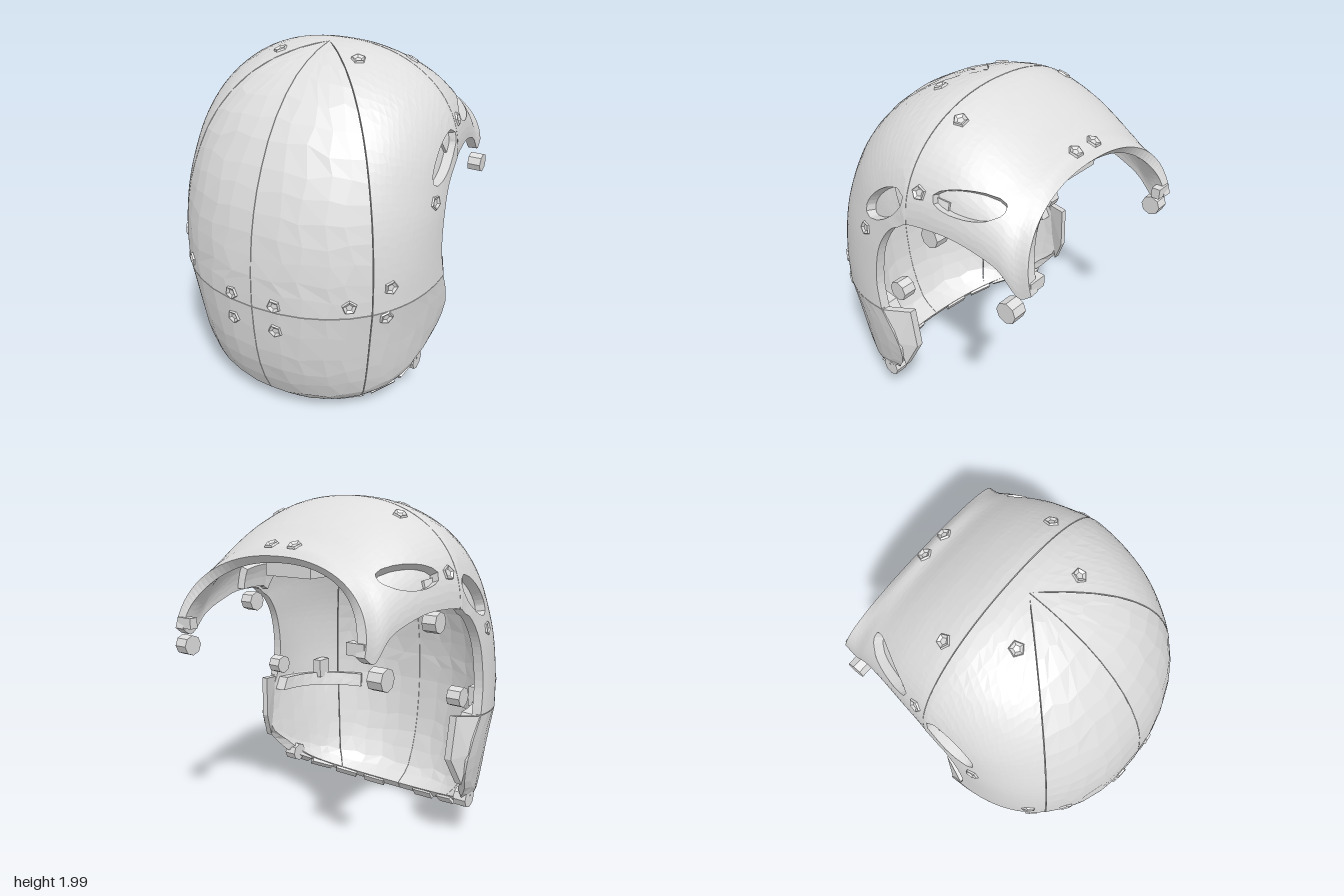
import * as THREE from 'three';
import { ConvexGeometry } from 'three/addons/geometries/ConvexGeometry.js';

const shellMat = new THREE.MeshStandardMaterial({ color: 0xdedede, flatShading: true });
shellMat.name = 'shellGrey';

// Hoops of the shell: centre z, centre y, side-edge z, side-edge y, half width
const LOWER = [
  [.53, .02, .12, .28, .67], [.66, .1, .06, .36, .72], [.755, .3, .0, .46, .75],
  [.80, .5, -.01, .59, .772], [.82, .75, .10, .805, .785],
];
const UPPER = [
  [.82, .753, .10, .81, .785], [.815, .95, .13, .98, .775], [.78, 1.2, .10, 1.2, .765],
  [.71, 1.42, .04, 1.32, .755], [.57, 1.67, -.02, 1.38, .75], [.37, 1.86, -.06, 1.4, .745],
  [.14, 1.965, -.085, 1.42, .742], [-.105, 2, -.105, 1.43, .738], [-.3, 1.94, -.33, 1.44, .70],
  [-.45, 1.86, -.48, 1.41, .672], [-.57, 1.78, -.63, 1.355, .65], [-.64, 1.755, -.755, 1.25, .642],
  [-.69, 1.705, -.82, 1.29, .635],
];
const HALF = Math.PI / 2;

// Surface point at hoop t and angle a (0 = side edge, HALF = centre line)
function makeSurface(rows) {
  const n = rows.length - 1;
  const mid = new THREE.CatmullRomCurve3(rows.map(r => new THREE.Vector3(r[4], r[1], r[0])));
  const edge = new THREE.CatmullRomCurve3(rows.map(r => new THREE.Vector3(0, r[3], r[2])));
  const point = (t, a) => {
    const u = THREE.MathUtils.clamp(t / n, 0, 1), b = THREE.MathUtils.clamp(a, 0, HALF);
    const p = mid.getPoint(u), q = edge.getPoint(u);
    const c = Math.pow(Math.max(0, Math.cos(b)), .91), s = Math.pow(Math.sin(b), .91);
    return new THREE.Vector3(p.x * c, q.y + (p.y - q.y) * s, q.z + (p.z - q.z) * s);
  };
  const normal = (t, a) => {
    const e = .02;
    const dt = point(t + e, a).sub(point(t - e, a));
    const da = point(t, a + e).sub(point(t, a - e));
    return dt.cross(da).normalize();
  };
  // slide [t, a] until the surface point has the given z and y
  const solve = ([t, a], z, y) => {
    for (let i = 0; i < 6; i++) {
      const e = .005, p = point(t, a);
      const ft = point(t + e, a).sub(p).divideScalar(e), fa = point(t, a + e).sub(p).divideScalar(e);
      const dz = z - p.z, dy = y - p.y, det = ft.z * fa.y - fa.z * ft.y;
      t += (dz * fa.y - fa.z * dy) / det;
      a += (ft.z * dy - dz * ft.y) / det;
    }
    return [t, a];
  };
  return { n, point, normal, solve };
}
const lower = makeSurface(LOWER), upper = makeSurface(UPPER);

// Angle where the diagonal front seam (x = z) crosses hoop t
function seam(surf, t) {
  let lo = 0, hi = HALF;
  for (let i = 0; i < 25; i++) {
    const m = (lo + hi) / 2, p = surf.point(t, m);
    if (p.x > p.z) lo = m; else hi = m;
  }
  return lo;
}

// Oval pockets, seen from the side
const OVALS = [
  { z: .065, y: 1.48, l: .175, w: .072, dz: -.8, dy: .6 },
  { z: -.415, y: 1.615, l: .172, w: .062, dz: -1, dy: 0 },
];
function ovalCoord(o, p) {
  const z = p.z - o.z, y = p.y - o.y;
  return Math.hypot((z * o.dz + y * o.dy) / o.l, (y * o.dz - z * o.dy) / o.w);
}

// Repeatable shift that makes the facets irregular
const jitter = k => { const s = Math.sin(k * 12.9898) * 43758.5453; return (s - Math.floor(s) - .5) * .5; };

// Solid curved panel with thickness; borders and pockets receive walls
function panel(surf, t0, t1, a0, a1, nt, na, side, { inset = 0, thick = .055, ovals = [] } = {}) {
  const uv = [], id = (i, j) => i * (na + 1) + j;
  for (let i = 0; i <= nt; i++) for (let j = 0; j <= na; j++) {
    const free = i > 0 && j > 0 && i < nt && j < na ? 1 : 0, k = id(i, j) + 1;
    const t = t0 + (t1 - t0) * (i + free * jitter(k)) / nt, s = a0(t);
    uv.push([t, s + (a1(t) - s) * (j + free * jitter(k + 777)) / na]);
  }
  const cells = [], floor = [], kept = new Set(), cut = new Map();
  for (let i = 0; i < nt; i++) for (let j = 0; j < na; j++) {
    const c = [id(i, j), id(i + 1, j), id(i + 1, j + 1), id(i, j + 1)];
    const m = new THREE.Vector3();
    c.forEach(k => m.addScaledVector(surf.point(...uv[k]), .25));
    const hit = ovals.find(o => ovalCoord(o, m) < 1);
    if (hit) { floor.push(c); c.forEach(k => cut.set(k, hit)); }
    else { cells.push(c); c.forEach(k => kept.add(k)); }
  }
  // snap the border of each pocket to its ellipse
  cut.forEach((o, k) => {
    if (!kept.has(k)) return;
    const p = surf.point(...uv[k]), d = ovalCoord(o, p);
    uv[k] = surf.solve(uv[k], o.z + (p.z - o.z) / d, o.y + (p.y - o.y) / d);
  });
  const layer = depth => uv.map(q => surf.point(...q).addScaledVector(surf.normal(...q), -depth));
  const pos = [...layer(inset), ...layer(inset + thick)].flatMap(p => [Math.max(0, p.x) * side, p.y, p.z]);
  const N = uv.length, index = [], edges = new Set();
  const quad = (a, b, c, d) => {
    if (side > 0) index.push(a, b, c, a, c, d); else index.push(a, c, b, a, d, c);
  };
  for (const [a, b, c, d] of cells) {
    quad(a, b, c, d);
    quad(a + N, d + N, c + N, b + N);
    [[a, b], [b, c], [c, d], [d, a]].forEach(e => edges.add(e.join()));
  }
  for (const [a, b, c, d] of floor) {
    quad(a + N, b + N, c + N, d + N);
    quad(a + N, d + N, c + N, b + N);
  }
  edges.forEach(e => {
    const [a, b] = e.split(',').map(Number);
    if (!edges.has(b + ',' + a)) quad(b, a, a + N, b + N);
  });
  const g = new THREE.BufferGeometry();
  g.setAttribute('position', new THREE.Float32BufferAttribute(pos, 3));
  g.setIndex(index);
  g.computeVertexNormals();
  return g;
}

// Nearest surface spot for two known coordinates
function locate(k1, v1, k2, v2) {
  let best = { d: 9 };
  for (const surf of [lower, upper])
    for (let t = 0; t <= surf.n; t += .05) for (let a = 0; a <= HALF; a += .025) {
      const p = surf.point(t, a), d = Math.hypot(p[k1] - v1, p[k2] - v2);
      if (d < best.d) best = { d, p, n: surf.normal(t, a) };
    }
  return best;
}

export function createModel() {
  const group = new THREE.Group();
  const add = (name, geo) => {
    const m = new THREE.Mesh(geo, shellMat);
    m.name = name;
    group.add(m);
    return m;
  };
  const zero = () => 0, gap = .006, mid = () => HALF - .001;
  const lowCut = t => seam(lower, t), upCut = t => seam(upper, t);
  const sideEnd = t => { const c = upCut(t); return c > HALF - .01 ? HALF : c - gap / 2; };
  const Z = new THREE.Vector3(0, 0, 1), Y = new THREE.Vector3(0, 1, 0);

  const holes = [
    ['x', .135, 'y', .64], ['x', .135, 'y', .79], ['x', .5, 'y', .83], ['x', .66, 'y', .91],
    ['x', .645, 'y', .735], ['x', .25, 'z', .12], ['x', .41, 'z', -.18], ['x', .08, 'z', -.63],
    ['z', -.17, 'y', 1.62], ['z', .21, 'y', 1.28],
  ].map(h => locate(...h));
  const socket = new THREE.LatheGeometry(
    [[.042, -.006], [.036, .006], [.018, -.004]].map(p => new THREE.Vector2(...p)), 5);

  for (const side of [1, -1]) {
    const tag = side > 0 ? 'left' : 'right';
    // main panels, parted by narrow seams
    add(tag + 'ChinPanel', panel(lower, 0, 4, t => lowCut(t) + gap / 2, mid, 7, 5, side));
    add(tag + 'CheekPanel', panel(lower, 0, 4, zero, t => lowCut(t) - gap / 2, 7, 6, side));
    add(tag + 'FacePanel', panel(upper, 0, 6.55, t => Math.min(upCut(t) + gap / 2, HALF - .002), mid, 14, 5, side));
    add(tag + 'SidePanel', panel(upper, 0, 6.99, zero, sideEnd, 32, 20, side, { ovals: [OVALS[0]] }));
    add(tag + 'CrownPanel', panel(upper, 7.01, 12, zero, () => HALF, 22, 24, side, { ovals: [OVALS[1]] }));

    // cheek flange, bent inward behind the cheek edge
    const rim = [[.78, .8, .1], [.715, .83, -.06], [.70, .58, -.08], [.735, .42, -.01], [.768, .6, 0]];
    add(tag + 'CheekFlange', new ConvexGeometry(rim.flatMap(([x, y, z]) =>
      [new THREE.Vector3(x * side, y, z), new THREE.Vector3((x - .04) * side, y, z)])));

    // ribs behind the seams and along the arch
    add(tag + 'CheekRib', panel(lower, 3.6, 3.95, () => .03, () => 1, 2, 8, side, { inset: .04, thick: .09 }));
    add(tag + 'ArchRib', panel(upper, 5.5, 8, () => .02, () => .3, 6, 3, side, { inset: .04, thick: .06 }));

    // five-sided bolt sockets
    for (const { p, n } of holes) {
      const m = add(tag + 'BoltSocket', socket);
      m.position.copy(p).addScaledVector(n, .003);
      m.position.x *= side;
      m.quaternion.setFromUnitVectors(Y, new THREE.Vector3(n.x * side, n.y, n.z));
    }

    // round studs along the side opening
    for (const [x, y, z] of [[.64, 1.365, -.205], [.655, 1.175, -.72], [.66, .91, .05], [.655, .255, .185]]) {
      const m = add(tag + 'Stud', new THREE.CylinderGeometry(.058, .058, .08, 8));
      m.rotation.z = HALF;
      m.position.set(x * side, y, z);
    }

    // tabs around the lower rim
    for (const a of [.25, .6, .95, 1.3]) {
      const p = lower.point(.12, a), n = lower.normal(.12, a);
      const m = add(tag + 'RimTab', new THREE.BoxGeometry(.15, .07, .05));
      m.position.copy(p).addScaledVector(n, -.02);
      m.position.x *= side;
      m.position.y = Math.max(m.position.y, .04);
      m.quaternion.setFromUnitVectors(Z, new THREE.Vector3(n.x * side, n.y, n.z));
    }

    // rear tip block and inner mounting blocks
    for (const [name, w, h, d, x, y, z] of [
      ['TipBlock', .1, .06, .05, .575, 1.32, -.785], ['CrownBlock', .15, .1, .14, .075, 1.64, -.53],
      ['FaceBlock', .1, .12, .08, .05, 1.5, .56], ['WallBlock', .06, .12, .1, .6, .82, .42],
    ]) add(tag + name, new THREE.BoxGeometry(w, h, d)).position.set(x * side, y, z);
  }
  return group;
}
